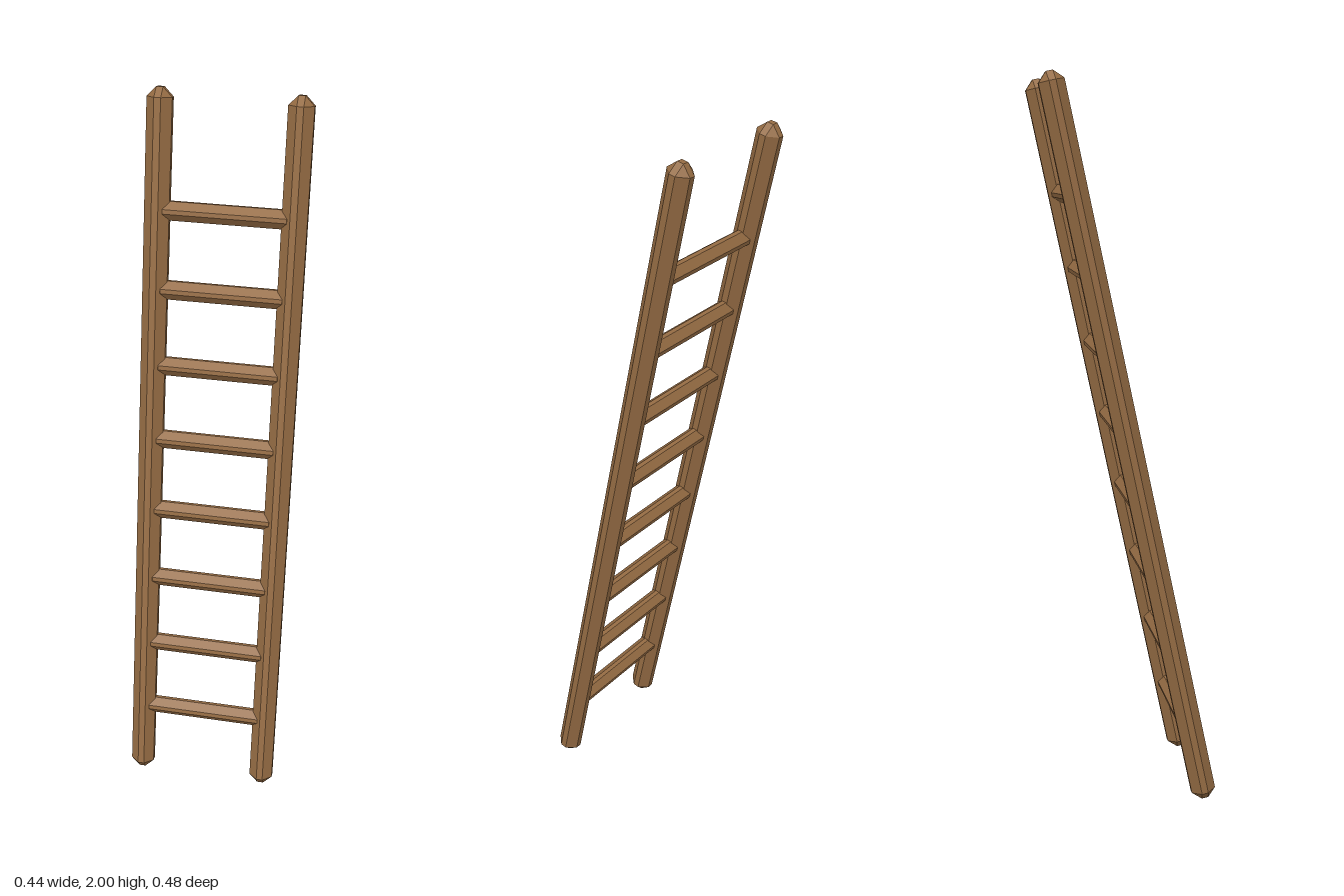
import * as THREE from 'three';
import { ConvexGeometry } from 'three/addons/geometries/ConvexGeometry.js';

// Box with half sizes a, b, c whose edges and corners are cut by one wide bevel
function bevelledBox(a, b, c, bevel) {
  const points = [];
  for (const x of [-1, 1]) for (const y of [-1, 1]) for (const z of [-1, 1]) {
    points.push(
      new THREE.Vector3(x * a, y * (b - bevel), z * (c - bevel)),
      new THREE.Vector3(x * (a - bevel), y * b, z * (c - bevel)),
      new THREE.Vector3(x * (a - bevel), y * (b - bevel), z * c)
    );
  }
  return new ConvexGeometry(points);
}

export function createModel() {
  const wood = new THREE.MeshStandardMaterial({ color: 0x946b43, flatShading: true });
  wood.name = 'wood';

  const model = new THREE.Group();
  model.name = 'ladder';

  // The whole frame leans back by 12 degrees
  const frame = new THREE.Group();
  frame.name = 'leaningFrame';
  frame.position.y = 1;
  frame.rotation.x = -THREE.MathUtils.degToRad(12);
  model.add(frame);

  // Side rails
  const railGeometry = bevelledBox(0.034, 1.0205, 0.034, 0.025);
  for (const side of [-1, 1]) {
    const rail = new THREE.Mesh(railGeometry, wood);
    rail.name = side > 0 ? 'leftRail' : 'rightRail';
    rail.position.x = side * 0.184;
    frame.add(rail);
  }

  // Rungs, with their ends sunk into the rails
  const rungGeometry = bevelledBox(0.185, 0.0255, 0.0255, 0.0195);
  for (let i = 0; i < 8; i++) {
    const rung = new THREE.Mesh(rungGeometry, wood);
    rung.name = `rung${i + 1}`;
    rung.position.y = -0.8 + i * 0.2147;
    frame.add(rung);
  }

  return model;
}
